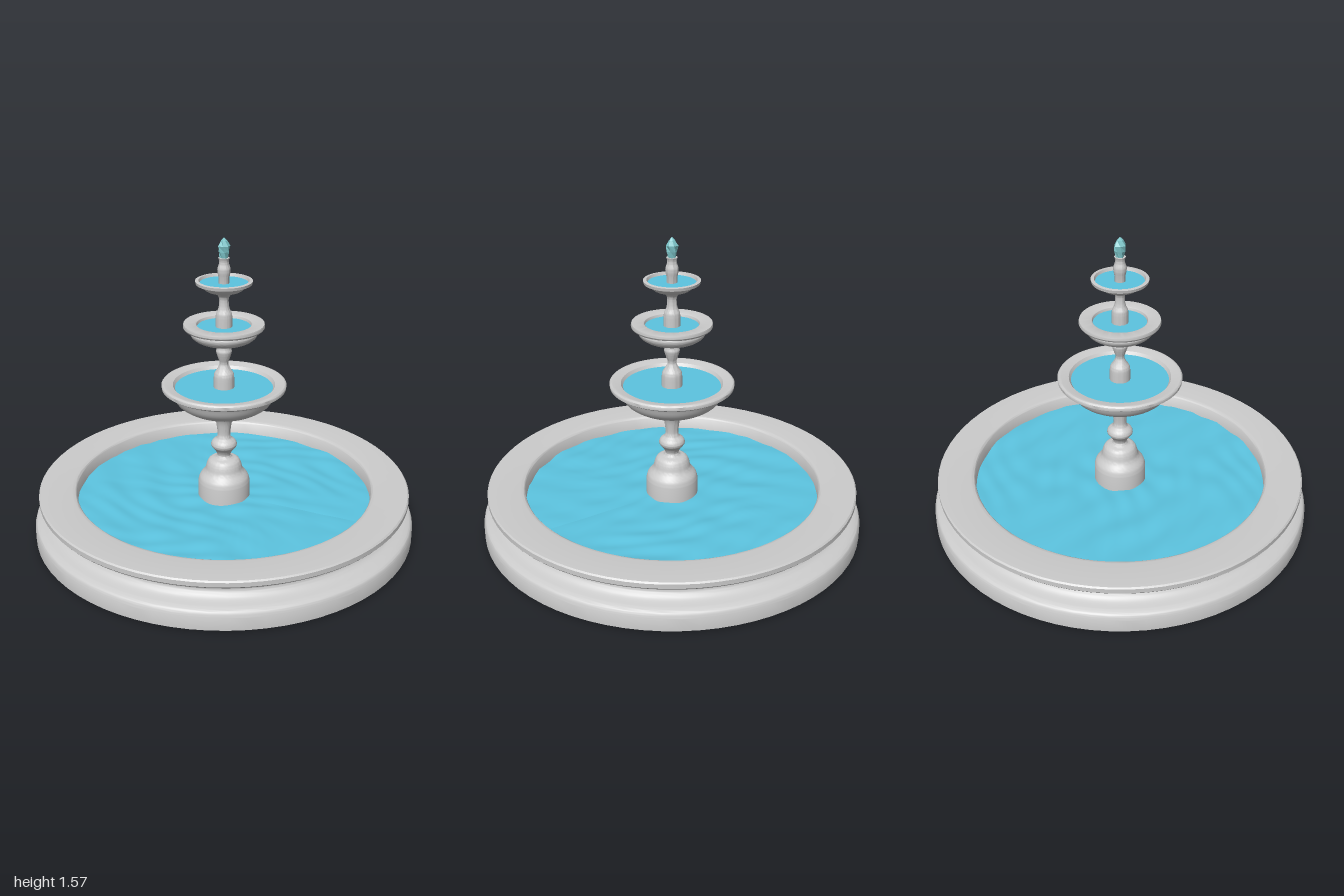
import * as THREE from 'three';
import { toCreasedNormals } from 'three/addons/utils/BufferGeometryUtils.js';

const stone = new THREE.MeshStandardMaterial({ color: 0xcccccc });
const water = new THREE.MeshStandardMaterial({ color: 0x5cc4e0 });
const sprayMaterial = new THREE.MeshStandardMaterial({ color: 0x7cc4c8, flatShading: true });

// Turned stone part: each section is a smooth run of [radius, height] points, sharp corners between runs
function turned(name, ...sections) {
  const profile = [];
  for (const section of sections) {
    const points = section.map(([r, y]) => new THREE.Vector2(r, y));
    const run = points.length > 2 ? new THREE.SplineCurve(points).getPoints(points.length * 4) : points;
    for (const p of run) {
      p.x = Math.max(p.x, 0);
      if (!profile.length || profile[profile.length - 1].distanceTo(p) > 1e-4) profile.push(p);
    }
  }
  const geometry = toCreasedNormals(new THREE.LatheGeometry(profile, 72), 0.7);
  const mesh = new THREE.Mesh(geometry, stone);
  mesh.name = name;
  return mesh;
}

// Round water surface with gentle ripples that fade at the edge
function pool(name, radius, y, ripple, rings) {
  const geometry = new THREE.RingGeometry(0.001, radius, 80, rings).rotateX(-Math.PI / 2);
  const pos = geometry.attributes.position;
  for (let i = 0; i < pos.count; i++) {
    const x = pos.getX(i), z = pos.getZ(i);
    const wave = Math.sin(13 * x + 3 * Math.sin(9 * z)) * Math.sin(31 * z + 2 * Math.sin(7 * x))
      + 0.5 * Math.sin(23 * x - 17 * z);
    pos.setY(i, y + ripple * wave);
  }
  geometry.computeVertexNormals();
  const mesh = new THREE.Mesh(geometry, water);
  mesh.name = name;
  return mesh;
}

// Faceted water jet at the very top
function spray() {
  const profile = [[0, 1.46], [0.02, 1.465], [0.026, 1.5], [0.03, 1.53], [0.016, 1.555], [0, 1.572]];
  const geometry = new THREE.LatheGeometry(profile.map(([r, y]) => new THREE.Vector2(r, y)), 7);
  const pos = geometry.attributes.position;
  for (let i = 0; i < pos.count; i++) {
    const x = pos.getX(i), y = pos.getY(i), z = pos.getZ(i);
    const twist = (y - 1.46) * 9, angle = Math.atan2(z, x);
    const r = Math.hypot(x, z) * (1 + 0.12 * Math.sin(3 * angle + 60 * y));
    pos.setXYZ(i, r * Math.cos(angle + twist), y, r * Math.sin(angle + twist));
  }
  const mesh = new THREE.Mesh(geometry, sprayMaterial);
  mesh.name = 'spray';
  return mesh;
}

export function createModel() {
  const fountain = new THREE.Group();
  fountain.name = 'fountain';

  // Ground basin: plinth, hollow moulding, broad rim, inner wall and floor
  fountain.add(turned('basin',
    [[0, 0], [0.985, 0]],
    [[0.985, 0], [1, 0.01]],
    [[1, 0.01], [1, 0.075]],
    [[1, 0.075], [0.99, 0.1], [0.965, 0.112]],
    [[0.965, 0.112], [0.92, 0.125], [0.895, 0.15], [0.897, 0.175], [0.925, 0.2], [0.965, 0.212]],
    [[0.965, 0.212], [0.972, 0.22]],
    [[0.972, 0.22], [0.972, 0.243]],
    [[0.972, 0.243], [0.965, 0.25]],
    [[0.965, 0.25], [0.8, 0.25]],
    [[0.8, 0.25], [0.783, 0.246], [0.775, 0.235]],
    [[0.775, 0.235], [0.775, 0.12]],
    [[0.775, 0.12], [0, 0.12]]));

  // Bell-shaped foot and lower stem
  fountain.add(turned('pedestal',
    [[0.136, 0.12], [0.136, 0.26]],
    [[0.136, 0.26], [0.127, 0.29], [0.1, 0.325], [0.09, 0.36], [0.075, 0.385], [0.045, 0.395]],
    [[0.045, 0.395], [0.035, 0.41], [0.045, 0.435], [0.067, 0.465], [0.06, 0.49], [0.035, 0.515],
      [0.037, 0.57], [0.046, 0.61], [0.065, 0.645]]));

  // Large bowl
  fountain.add(turned('lowerBowl',
    [[0.03, 0.64], [0.065, 0.645]],
    [[0.065, 0.645], [0.15, 0.662], [0.235, 0.71], [0.265, 0.765]],
    [[0.265, 0.765], [0.295, 0.778], [0.318, 0.792]],
    [[0.318, 0.792], [0.32, 0.81]],
    [[0.32, 0.81], [0.312, 0.817], [0.285, 0.813], [0.262, 0.808]],
    [[0.262, 0.808], [0.25, 0.79]],
    [[0.25, 0.79], [0.2, 0.73], [0.02, 0.7]]));

  // Stem between the large and the middle bowl
  fountain.add(turned('middleStem',
    [[0.053, 0.7], [0.053, 0.83]],
    [[0.053, 0.83], [0.05, 0.865], [0.035, 0.89], [0.022, 0.92], [0.03, 0.95], [0.04, 0.985], [0.034, 1.01], [0.05, 1.03]]));

  // Middle bowl
  fountain.add(turned('middleBowl',
    [[0.02, 1.025], [0.05, 1.03]],
    [[0.05, 1.03], [0.12, 1.042], [0.16, 1.065], [0.172, 1.09], [0.165, 1.105]],
    [[0.165, 1.105], [0.2, 1.11]],
    [[0.2, 1.11], [0.206, 1.12], [0.203, 1.135]],
    [[0.203, 1.135], [0.15, 1.135]],
    [[0.15, 1.135], [0.138, 1.13], [0.135, 1.115]],
    [[0.135, 1.115], [0.1, 1.08], [0.02, 1.07]]));

  // Stem between the middle and the small bowl
  fountain.add(turned('upperStem',
    [[0.042, 1.07], [0.042, 1.15]],
    [[0.042, 1.15], [0.04, 1.185], [0.029, 1.21], [0.024, 1.24], [0.026, 1.27], [0.045, 1.295]]));

  // Small bowl
  fountain.add(turned('upperBowl',
    [[0.01, 1.29], [0.045, 1.295]],
    [[0.045, 1.295], [0.085, 1.305], [0.11, 1.325], [0.118, 1.335]],
    [[0.118, 1.335], [0.14, 1.34]],
    [[0.14, 1.34], [0.143, 1.355]],
    [[0.143, 1.355], [0.126, 1.357]],
    [[0.126, 1.357], [0.12, 1.34]],
    [[0.12, 1.34], [0.08, 1.32], [0.01, 1.315]]));

  // Nozzle carrying the jet
  fountain.add(turned('nozzle',
    [[0.027, 1.315], [0.027, 1.37]],
    [[0.027, 1.37], [0.033, 1.41], [0.025, 1.44], [0.024, 1.455], [0.028, 1.47]],
    [[0.028, 1.47], [0, 1.47]]));

  // Water in the four basins and the jet
  fountain.add(
    pool('basinWater', 0.774, 0.175, 0.005, 40),
    pool('lowerBowlWater', 0.251, 0.792, 0, 2),
    pool('middleBowlWater', 0.136, 1.118, 0, 2),
    pool('upperBowlWater', 0.121, 1.343, 0, 2),
    spray());
  return fountain;
}
